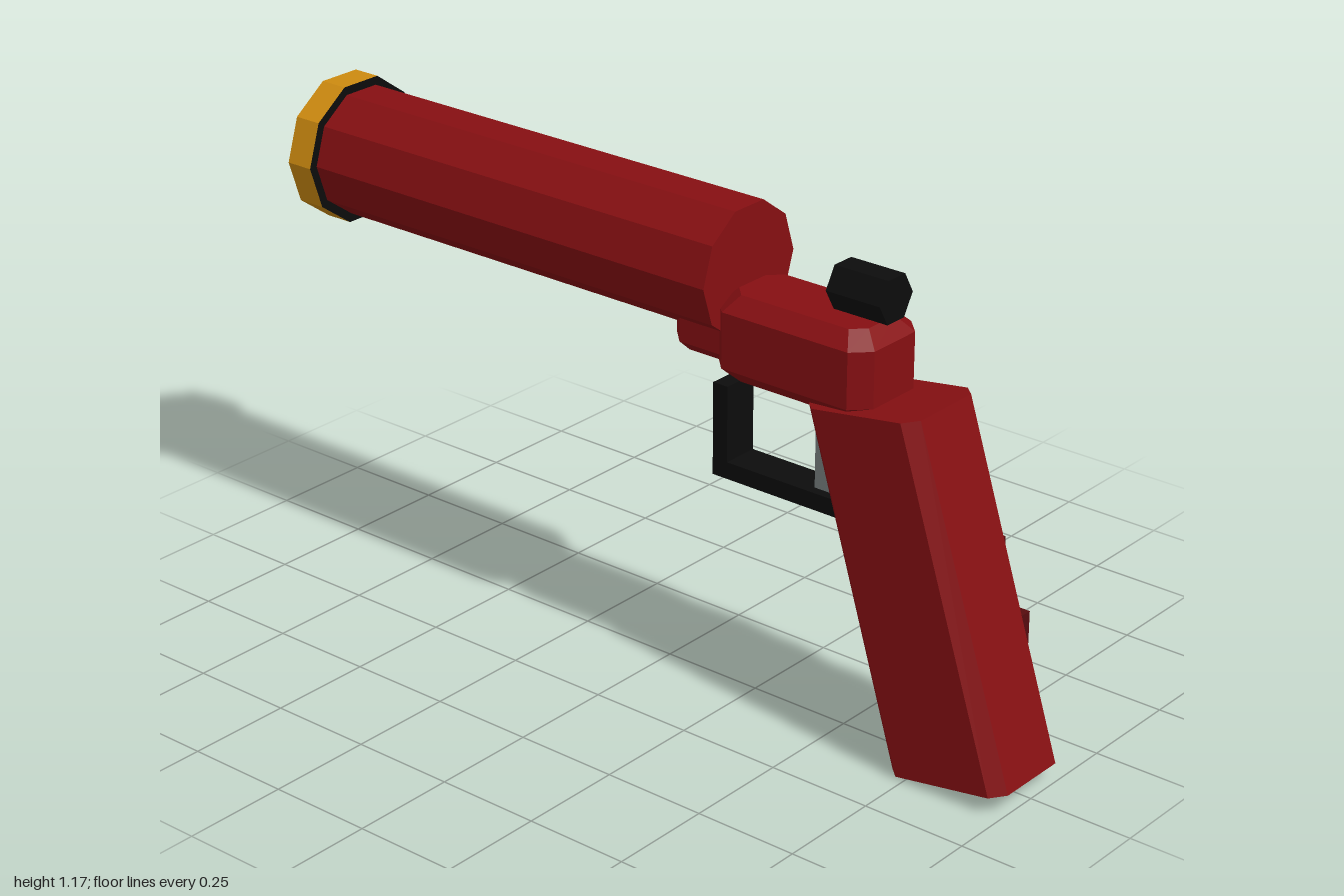
import * as THREE from 'three';

const material = (name, color) => {
  const m = new THREE.MeshStandardMaterial({ color });
  m.name = name;
  return m;
};

// Octagonal plan section: a rectangle with cut corners, counterclockwise from above.
// y runs from yBack (at zBack) to yFront (at zFront), so sections may slope.
function section(halfX, zBack, zFront, cut, yBack, yFront = yBack) {
  const plan = [
    [halfX, zBack - cut], [halfX, zFront + cut],
    [halfX - cut, zFront], [cut - halfX, zFront],
    [-halfX, zFront + cut], [-halfX, zBack - cut],
    [cut - halfX, zBack], [halfX - cut, zBack],
  ];
  return plan.map(([x, z]) => {
    const t = (zBack - z) / (zBack - zFront);
    return [x, yBack + (yFront - yBack) * t, z];
  });
}

// Closed, faceted solid through sections listed from bottom to top.
function loft(sections) {
  const pos = [];
  const tri = (a, b, c) => pos.push(...a, ...b, ...c);
  const n = sections[0].length;
  for (let s = 0; s < sections.length - 1; s++) {
    const lo = sections[s], hi = sections[s + 1];
    for (let i = 0; i < n; i++) {
      const j = (i + 1) % n;
      tri(lo[i], lo[j], hi[j]);
      tri(lo[i], hi[j], hi[i]);
    }
  }
  const bottom = sections[0], top = sections[sections.length - 1];
  for (let i = 1; i < n - 1; i++) {
    tri(bottom[0], bottom[i + 1], bottom[i]);
    tri(top[0], top[i], top[i + 1]);
  }
  const g = new THREE.BufferGeometry();
  g.setAttribute('position', new THREE.Float32BufferAttribute(pos, 3));
  g.computeVertexNormals();
  return g;
}

// Prism along z with corners on the x axis.
function prism(radius, sides, y, zBack, zFront) {
  const g = new THREE.CylinderGeometry(radius, radius, zBack - zFront, sides, 1, false, Math.PI / 2);
  g.rotateX(Math.PI / 2);
  g.translate(0, y, (zBack + zFront) / 2);
  return g;
}

// Box given by its limits on each axis.
function box(x0, x1, y0, y1, z0, z1) {
  const g = new THREE.BoxGeometry(x1 - x0, y1 - y0, z1 - z0);
  g.translate((x0 + x1) / 2, (y0 + y1) / 2, (z0 + z1) / 2);
  return g;
}

export function createModel() {
  const model = new THREE.Group();
  model.name = 'flarePistol';

  const red = material('red', 0x860f12);
  const darkRed = material('darkRed', 0x560c0f);
  const black = material('black', 0x0c0c0c);
  const gold = material('gold', 0xcd8a10);
  const grey = material('grey', 0x767d7e);
  for (const m of [red, darkRed, black, gold, grey]) m.flatShading = true;

  const add = (name, geometry, mat) => {
    const mesh = new THREE.Mesh(geometry, mat);
    mesh.name = name;
    model.add(mesh);
  };

  // Barrel and muzzle band: gold rim with black end faces
  add('barrel', prism(0.153, 10, 1.01, 0.22, -0.94), red);
  add('muzzleBand', prism(0.174, 10, 1.01, -0.93, -1), [gold, black, black]);

  // Receiver with bevelled edges
  add('receiver', loft([
    section(0.075, 0.575, 0.23, 0.03, 0.785),
    section(0.11, 0.61, 0.195, 0.04, 0.82),
    section(0.11, 0.61, 0.195, 0.04, 0.95),
    section(0.075, 0.575, 0.23, 0.03, 0.985),
  ]), red);

  // Hinge block under the barrel
  add('hingeBlock', loft([
    section(0.065, 0.28, 0.075, 0.035, 0.815),
    section(0.085, 0.3, 0.053, 0.045, 0.837),
    section(0.085, 0.3, 0.053, 0.045, 0.9),
  ]), red);

  // Hammer
  add('hammer', prism(0.057, 6, 1.045, 0.61, 0.47), black);

  // Slanted grip
  add('grip', loft([
    section(0.118, 1.0, 0.7, 0.03, 0.05, 0.003),
    section(0.118, 0.745, 0.455, 0.03, 0.84, 0.797),
  ]), red);

  // Studs on the left side of the grip
  for (let i = 0; i < 3; i++) {
    const y = 0.633 - i * 0.155, z = 0.71 + i * 0.07;
    add('gripStud' + (i + 1), box(0.1, 0.128, y - 0.04, y + 0.04, z - 0.04, z + 0.04), darkRed);
  }

  // Trigger and guard
  add('guardBar', box(-0.045, 0.045, 0.525, 0.565, 0.16, 0.57), black);
  add('guardPost', box(-0.045, 0.045, 0.565, 0.745, 0.16, 0.2), black);
  add('trigger', box(-0.022, 0.022, 0.56, 0.717, 0.424, 0.467), grey);

  return model;
}
